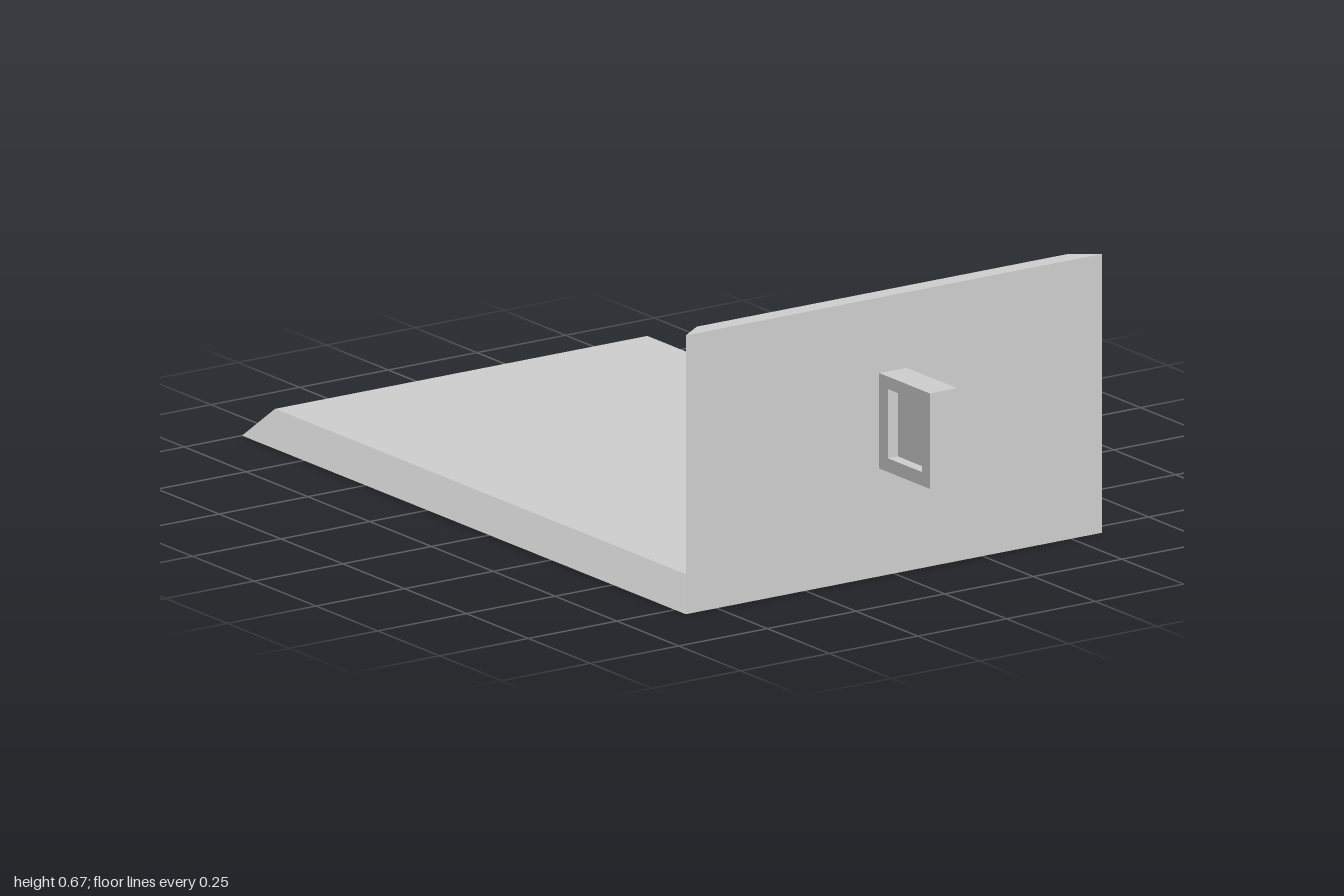
import * as THREE from 'three';

const material = new THREE.MeshStandardMaterial({ color: 0xcccccc, flatShading: true });

// Box whose corners are placed by a rule taking the signs (-1 or 1) of each corner
function shapedBox(name, rule) {
  const geometry = new THREE.BoxGeometry(2, 2, 2).toNonIndexed();
  const p = geometry.attributes.position;
  for (let i = 0; i < p.count; i++) {
    p.setXYZ(i, ...rule(p.getX(i), p.getY(i), p.getZ(i)));
  }
  geometry.computeVertexNormals();
  const mesh = new THREE.Mesh(geometry, material);
  mesh.name = name;
  return mesh;
}

// Corners of a rectangle
function rectangle(path, x0, y0, x1, y1) {
  path.moveTo(x0, y0);
  path.lineTo(x1, y0);
  path.lineTo(x1, y1);
  path.lineTo(x0, y1);
  path.closePath();
  return path;
}

export function createModel() {
  const model = new THREE.Group();
  model.name = 'trayWithUprightFront';

  const outerX = 0.587, innerX = 0.525;
  const frontZ = 0.795, wallBackZ = 0.75;
  const floorTop = 0.065, wallTop = 0.672;

  // Floor slab, bevelled on the sides and back, mitred into the front panel
  model.add(shapedBox('floor', (x, y, z) => y > 0
    ? [x * innerX, floorTop, z > 0 ? wallBackZ : -0.955]
    : [x * outerX, 0, z > 0 ? frontZ : -1]));

  // Front panel, narrowing towards its inner face
  model.add(shapedBox('frontPanel', (x, y, z) => z > 0
    ? [x * outerX, y > 0 ? wallTop : 0, frontZ]
    : [x * innerX, y > 0 ? wallTop : floorTop, wallBackZ]));

  // Handle: a rectangular frame around a thin recessed web
  const handle = new THREE.Group();
  handle.name = 'handle';
  const width = 0.077, recess = 0.028;
  const outline = rectangle(new THREE.Shape(), frontZ, 0.26, 1, 0.49);
  outline.holes.push(rectangle(new THREE.Path(), 0.83, 0.293, 0.967, 0.46));
  const frame = new THREE.Mesh(
    new THREE.ExtrudeGeometry(outline, { depth: width, bevelEnabled: false })
      .translate(0, 0, -width / 2).rotateY(-Math.PI / 2), material);
  frame.name = 'handleFrame';
  const web = new THREE.Mesh(new THREE.BoxGeometry(width - 2 * recess, 0.167, 0.137), material);
  web.name = 'handleWeb';
  web.position.set(0, 0.3765, 0.8985);
  handle.add(frame, web);
  handle.position.x = -0.003;
  model.add(handle);

  return model;
}
